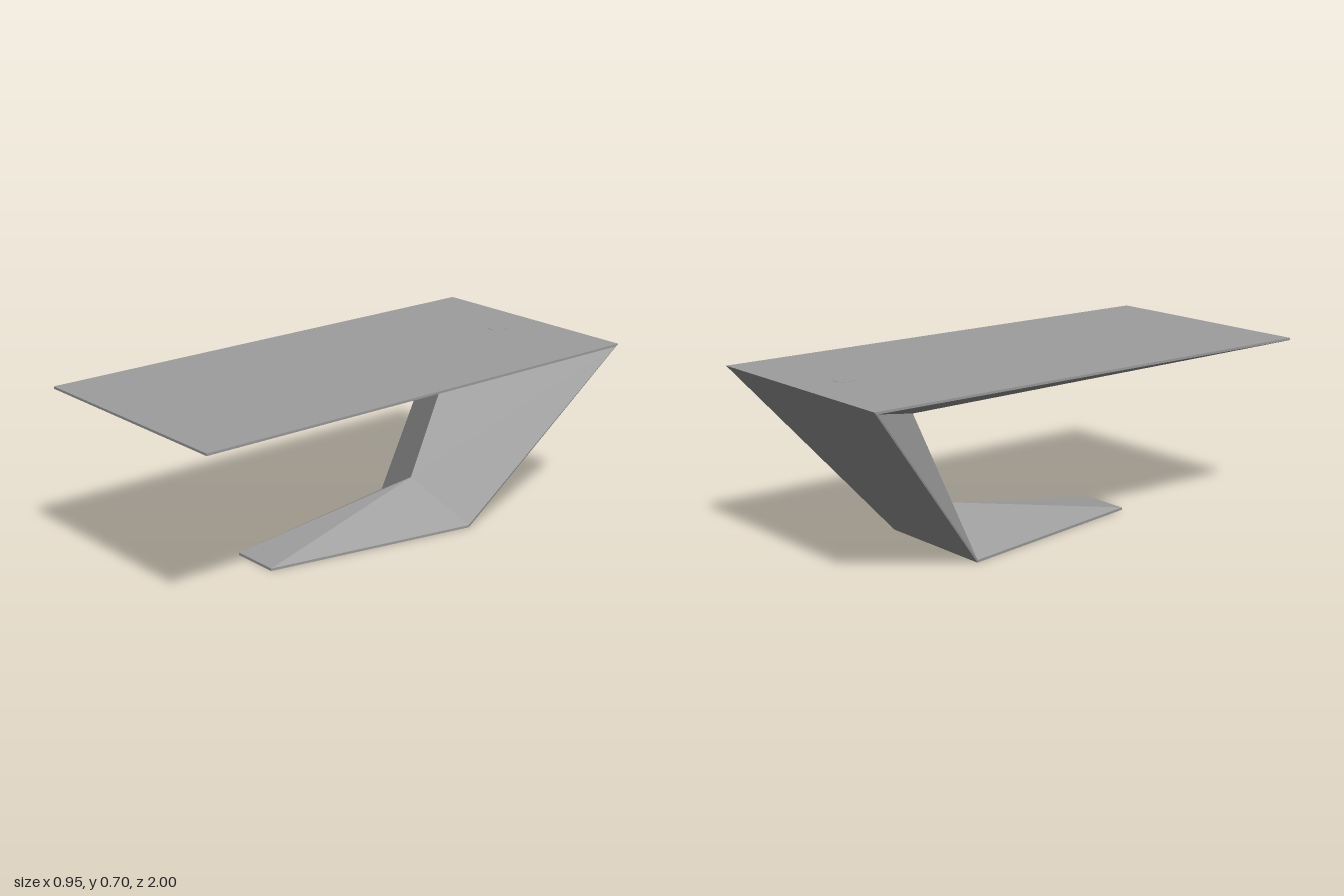
import * as THREE from 'three';

const material = new THREE.MeshStandardMaterial({ color: 0x9d9d9d });

// Mesh from polygons (counter-clockwise corners), each evenly shaded with one normal
function facetedMesh(name, polygons) {
  const pos = [], normals = [];
  for (const polygon of polygons) {
    const corners = polygon.map((c) => new THREE.Vector3(...c));
    const normal = new THREE.Vector3();
    corners.forEach((c, i) => normal.add(c.clone().cross(corners[(i + 1) % corners.length])));
    normal.normalize();
    for (let i = 1; i < corners.length - 1; i++)
      for (const c of [corners[0], corners[i], corners[i + 1]]) {
        pos.push(...c);
        normals.push(...normal);
      }
  }
  const geo = new THREE.BufferGeometry();
  geo.setAttribute('position', new THREE.Float32BufferAttribute(pos, 3));
  geo.setAttribute('normal', new THREE.Float32BufferAttribute(normals, 3));
  const mesh = new THREE.Mesh(geo, material);
  mesh.name = name;
  return mesh;
}

const mirror = ([x, y, z]) => [-x, y, z];
const mirrorFace = (face) => face.map(mirror).reverse();

export function createModel() {
  const group = new THREE.Group();
  group.name = 'facetedDesk';

  // Folded ribbon corners on the +x side: table front, table back, foot back, foot front
  const outer = [[0.476, 0.695, 1], [0.476, 0.695, -1], [0.262, 0, -0.41], [0.1, 0, 0.455]];
  const inner = [[0.476, 0.686, 1], [0.475, 0.686, -0.986], [0.263, 0.01, -0.41], [0.1, 0.01, 0.455]];
  // Ends of the inner ridge
  const upperPeak = [0, 0.527, -0.502];
  const lowerPeak = [0, 0.156, -0.335];
  const ridges = [[upperPeak], [upperPeak, lowerPeak], [lowerPeak]];

  // Each segment: outer panel, thin rims and inner facets
  const segments = ridges.map((ridge, i) => {
    const a = outer[i], b = outer[i + 1], c = inner[i], d = inner[i + 1];
    const rim = [a, c, d, b];
    const facet = [c, ...ridge, d];
    return [[a, b, mirror(b), mirror(a)], rim, mirrorFace(rim), facet, mirrorFace(facet)];
  });

  // Front edges and front-facing triangles of table and foot
  segments[0].push(
    [mirror(outer[0]), mirror(inner[0]), inner[0], outer[0]],
    [mirror(inner[0]), upperPeak, inner[0]]);
  segments[2].push(
    [outer[3], inner[3], mirror(inner[3]), mirror(outer[3])],
    [inner[3], lowerPeak, mirror(inner[3])]);

  ['tableTop', 'slantedLeg', 'foot'].forEach((name, i) => group.add(facetedMesh(name, segments[i])));

  // Flush cable cover near the back edge
  const cover = new THREE.Mesh(new THREE.CylinderGeometry(0.04, 0.04, 0.01, 32), material);
  cover.name = 'cableCover';
  cover.position.set(0, 0.691, -0.8);
  group.add(cover);

  return group;
}
